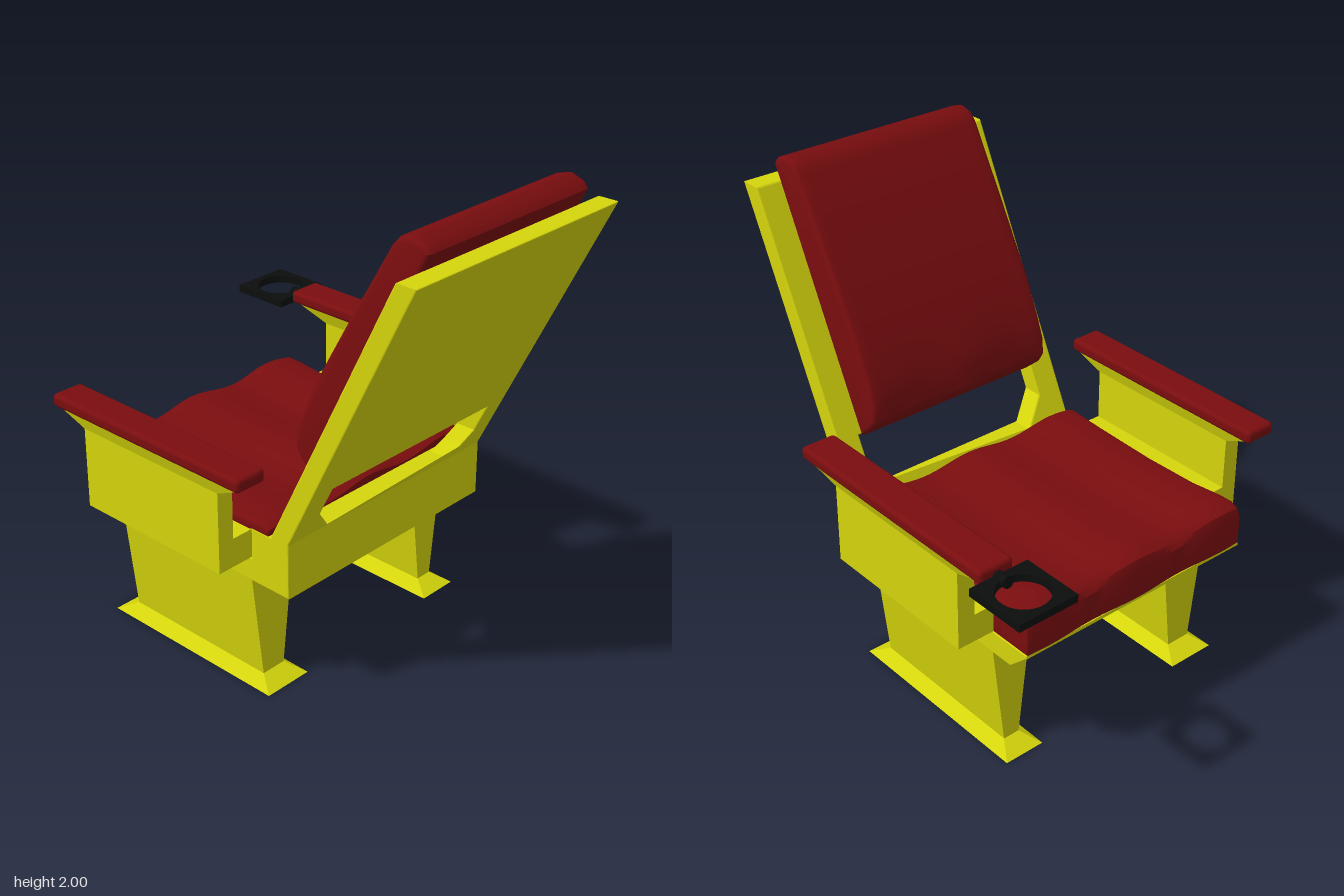
import * as THREE from 'three';
import { toCreasedNormals } from 'three/addons/utils/BufferGeometryUtils.js';
import { RoundedBoxGeometry } from 'three/addons/geometries/RoundedBoxGeometry.js';

const yellow = new THREE.MeshStandardMaterial({ color: 0xd4d40c });
const red = new THREE.MeshStandardMaterial({ color: 0x7a0d0f });
const black = new THREE.MeshStandardMaterial({ color: 0x0c0e0e });

const SEAT_X0 = -0.585, SEAT_X1 = 0.525, SEAT_MID = -0.03;
const LEAN = 0.487; // backward lean of the backrest, z per unit of y

function part(name, geometry, material) {
  const mesh = new THREE.Mesh(geometry, material);
  mesh.name = name;
  return mesh;
}

// Moves every vertex by a rule
function bend(geometry, rule) {
  const pos = geometry.attributes.position;
  const v = new THREE.Vector3();
  for (let i = 0; i < pos.count; i++) {
    rule(v.fromBufferAttribute(pos, i));
    pos.setXYZ(i, v.x, v.y, v.z);
  }
  geometry.computeVertexNormals();
  return geometry;
}

// Box whose bottom and top rectangles differ; each is [x0, x1, z0, z1]
function taper(y0, y1, bottom, top) {
  return bend(new THREE.BoxGeometry(1, 1, 1), (v) => {
    const r = v.y < 0 ? bottom : top;
    v.set(v.x < 0 ? r[0] : r[1], v.y < 0 ? y0 : y1, v.z < 0 ? r[2] : r[3]);
  });
}

// Side profile of [z, y] points, extruded across x with softened ends
function sideExtrude(points, x0, x1, steps, bevel) {
  const shape = new THREE.Shape(points.map(([z, y]) => new THREE.Vector2(-z, y)));
  const g = new THREE.ExtrudeGeometry(shape, {
    depth: x1 - x0 - 2 * bevel, steps, bevelEnabled: bevel > 0,
    bevelThickness: bevel, bevelSize: bevel, bevelOffset: -bevel, bevelSegments: 3,
  });
  return g.translate(0, 0, x0 + bevel).rotateY(Math.PI / 2);
}

function seatBase() {
  const profile = [[0.40, 0.49], [-0.62, 0.49], [-0.71, 0.575], [-0.71, 0.59],
    [0.21, 0.59], [0.21, 0.72], [0.40, 0.72]];
  return part('seatBase', sideExtrude(profile, SEAT_X0, SEAT_X1, 1, 0.005), yellow);
}

function seatCushion() {
  const profile = [[0.21, 0.59], [0.21, 0.715], [0.30, 0.715], [0.30, 0.74], [0.27, 0.755],
    [0.1, 0.745], [-0.2, 0.735], [-0.45, 0.74], [-0.6, 0.757], [-0.66, 0.758],
    [-0.695, 0.742], [-0.71, 0.71], [-0.71, 0.59]];
  const g = sideExtrude(profile, SEAT_X0, SEAT_X1, 32, 0.008);
  // gentle waves across the top and front
  bend(g, (v) => {
    const wave = Math.cos(2 * Math.PI * (v.x - SEAT_MID) / 0.45);
    if (v.y > 0.725) v.y += 0.012 * wave;
    if (v.z < -0.6) v.z -= 0.005 * wave;
  });
  return part('seatCushion', toCreasedNormals(g, 0.6), red);
}

function backPanel() {
  const outline = [[SEAT_X0, 0.71], [SEAT_X1, 0.71], [SEAT_X1, 1.89], [SEAT_X0, 1.89]];
  const opening = [[-0.37, 0.72], [-0.47, 0.83], [-0.47, 0.955], [0.425, 0.955],
    [0.425, 0.83], [0.38, 0.77], [0.33, 0.72]];
  const vec = ([x, y]) => new THREE.Vector2(x, y);
  const shape = new THREE.Shape(outline.map(vec));
  shape.holes.push(new THREE.Path(opening.map(vec)));
  const g = new THREE.ExtrudeGeometry(shape, {
    depth: 0.078, bevelThickness: 0.006, bevelSize: 0.006, bevelOffset: -0.006, bevelSegments: 2,
  });
  bend(g.translate(0, 0, 0.316), (v) => { v.z += LEAN * (v.y - 0.72); });
  return part('backPanel', g, yellow);
}

function backCushion() {
  const profile = [[0.42, 0.95], [0.355, 1.01], [0.33, 1.05], [0.333, 1.12], [0.36, 1.21],
    [0.43, 1.37], [0.59, 1.66], [0.755, 1.95], [0.785, 1.985], [0.84, 2.0], [0.895, 1.98],
    [0.915, 1.955]];
  const g = sideExtrude(profile, -0.465, 0.42, 24, 0.02);
  bend(g, (v) => {
    // slight wave along the lower front edge
    if (v.y < 1.15 && v.z < 0.38) v.z -= 0.007 * Math.cos(2 * Math.PI * (v.x + 0.02) / 0.45);
  });
  return part('backCushion', toCreasedNormals(g, 0.6), red);
}

// Tapered slab leg standing on a flared foot
function leg(name, outer, inner) {
  const group = new THREE.Group();
  group.name = name;
  const [a, b] = [Math.min(outer, inner), Math.max(outer, inner)];
  const [c, d] = [a + 0.053, b - 0.053];
  group.add(part('legSlab', taper(0.04, 0.495, [c, d, -0.52, 0.21], [a, b, -0.52, 0.21]), yellow));
  group.add(part('foot', taper(0, 0.04, [a, b, -0.60, 0.29], [c, d, -0.52, 0.21]), yellow));
  return group;
}

// Armrest: bracket, upright, flared support and pad
function armrest(name, bracket, upright, pad, padZ) {
  const group = new THREE.Group();
  group.name = name;
  const [u0, u1] = upright;
  const foot = [u0, u1, -0.525, 0.21];
  const shelf = [...bracket, -0.525, 0.21];
  const flare = [pad[0] + 0.015, pad[1] - 0.015, padZ[0] + 0.02, padZ[1] - 0.01];
  group.add(part('armBracket', taper(0.595, 0.715, shelf, shelf), yellow));
  group.add(part('armUpright', taper(0.595, 0.935, foot, foot), yellow));
  group.add(part('armFlare', taper(0.935, 1.0, foot, flare), yellow));
  const cushion = new RoundedBoxGeometry(pad[1] - pad[0], 0.055, padZ[1] - padZ[0], 3, 0.018);
  cushion.translate((pad[0] + pad[1]) / 2, 1.0215, (padZ[0] + padZ[1]) / 2);
  group.add(part('armPad', cushion, red));
  return group;
}

function cupHolder() {
  const group = new THREE.Group();
  group.name = 'cupHolder';
  const s = 0.131;
  const plate = new THREE.Shape([[-s, -s], [s, -s], [s, s], [-s, s]].map(([x, y]) => new THREE.Vector2(x, y)));
  plate.holes.push(new THREE.Path().absarc(0, 0, 0.1, 0, Math.PI * 2, true));
  const g = new THREE.ExtrudeGeometry(plate, { depth: 0.032, bevelEnabled: false, curveSegments: 24 });
  g.rotateX(-Math.PI / 2).translate(0.652, 0.985, -0.839);
  group.add(part('cupPlate', g, black));
  // stub joining the plate to the armrest
  const stub = part('cupStub', new THREE.CylinderGeometry(0.024, 0.024, 0.09, 16), black);
  stub.rotation.x = Math.PI / 2 + 0.12;
  stub.position.set(0.652, 1.005, -0.715);
  group.add(stub);
  return group;
}

export function createModel() {
  const chair = new THREE.Group();
  chair.name = 'chair';
  chair.add(
    seatBase(), seatCushion(), backPanel(), backCushion(),
    leg('rightLeg', SEAT_X0, -0.368), leg('leftLeg', SEAT_X1, 0.345),
    armrest('rightArmrest', [-0.75, -0.58], [-0.75, -0.677], [-0.785, -0.643], [-0.67, 0.35]),
    armrest('leftArmrest', [0.52, 0.69], [0.613, 0.69], [0.575, 0.73], [-0.70, 0.377]),
    cupHolder(),
  );
  return chair;
}
